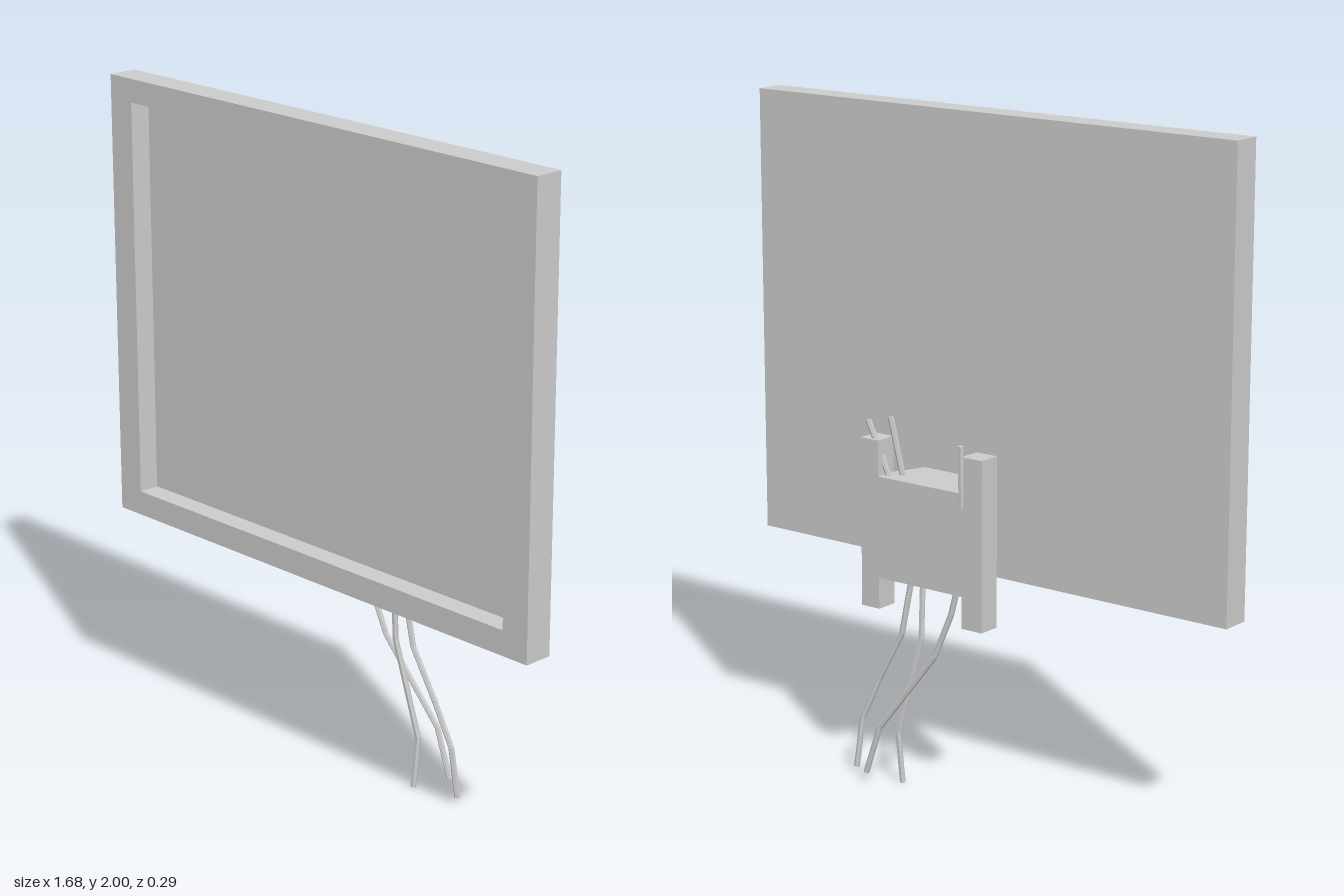
import * as THREE from 'three';

const grey = new THREE.MeshStandardMaterial({ color: 0xcccccc, flatShading: true, side: THREE.DoubleSide });

function add(parent, name, geometry, x = 0, y = 0, z = 0) {
  const mesh = new THREE.Mesh(geometry, grey);
  mesh.name = name;
  mesh.position.set(x, y, z);
  parent.add(mesh);
  return mesh;
}

// Box given by its two extreme corners
function box(parent, name, [x0, y0, z0], [x1, y1, z1]) {
  return add(parent, name, new THREE.BoxGeometry(x1 - x0, y1 - y0, z1 - z0),
    (x0 + x1) / 2, (y0 + y1) / 2, (z0 + z1) / 2);
}

// Straight-segment path whose samples land exactly on its points
class Polyline extends THREE.Curve {
  constructor(points) {
    super();
    this.points = points.map(p => new THREE.Vector3(...p));
  }
  getPoint(t, target = new THREE.Vector3()) {
    const n = this.points.length - 1;
    const i = Math.min(Math.floor(t * n + 1e-9), n - 1);
    return target.lerpVectors(this.points[i], this.points[i + 1], t * n - i);
  }
  getPointAt(u, target) { return this.getPoint(u, target); }
  getTangentAt(u, target) { return this.getTangent(u, target); }
}

// Angular cable with closed ends
function cable(parent, name, points, radius = 0.009) {
  const group = new THREE.Group();
  group.name = name;
  const path = new Polyline(points);
  add(group, name + 'Sleeve', new THREE.TubeGeometry(path, points.length - 1, radius, 6));
  for (const [t, dir] of [[0, -1], [1, 1]]) {
    const p = path.getPoint(t);
    const cap = add(group, name + 'End', new THREE.CircleGeometry(radius, 6), p.x, p.y, p.z);
    cap.lookAt(p.clone().addScaledVector(path.getTangent(t), dir));
  }
  parent.add(group);
}

export function createModel() {
  const model = new THREE.Group();
  model.name = 'wallScreen';

  // Screen: raised rim around a recessed panel
  const rect = (Type, x, y0, y1) => new Type([[-x, y0], [x, y0], [x, y1], [-x, y1]]
    .map(p => new THREE.Vector2(...p)));
  const rim = rect(THREE.Shape, 0.84, 0.655, 2);
  rim.holes.push(rect(THREE.Path, 0.75, 0.73, 1.93));
  add(model, 'screenRim', new THREE.ExtrudeGeometry(rim, { depth: 0.065, bevelEnabled: false }), 0, 0, 0.08);
  box(model, 'screenPanel', [-0.84, 0.655, 0.055], [0.84, 2, 0.08]);

  // Bracket: two posts with a block between them
  const bracket = new THREE.Group();
  bracket.name = 'bracket';
  model.add(bracket);
  box(bracket, 'rightPost', [-0.128, 0.545, -0.12], [-0.055, 1.052, -0.05]);
  box(bracket, 'leftPost', [0.25, 0.545, -0.12], [0.315, 1.052, -0.05]);
  box(bracket, 'bracketBlock', [-0.055, 0.64, -0.12], [0.25, 0.945, -0.05]);

  // Front of the block narrows at the sides and underneath
  const nose = box(bracket, 'taperedNose', [-0.055, 0.64, -0.05], [0.25, 0.945, 0.045]);
  const pos = nose.geometry.attributes.position;
  for (let i = 0; i < pos.count; i++) {
    if (pos.getZ(i) < 0) continue;
    pos.setX(i, pos.getX(i) > 0 ? 0.112 : -0.108);
    if (pos.getY(i) < 0) pos.setY(i, pos.getY(i) + 0.08);
  }
  nose.geometry.computeVertexNormals();

  // Cables hanging below the bracket
  cable(model, 'hangingCableRight', [[-0.03, 0.68, -0.098], [0, 0.57, -0.098], [0.055, 0.435, -0.105],
    [0.24, 0.185, -0.135], [0.29, 0.035, -0.137]]);
  cable(model, 'hangingCableMiddle', [[0.145, 0.68, -0.045], [0.145, 0.46, -0.055],
    [0.215, 0.16, -0.08], [0.205, 0.003, -0.072]]);
  cable(model, 'hangingCableLeft', [[0.178, 0.68, -0.045], [0.22, 0.46, -0.052], [0.295, 0.31, -0.065],
    [0.352, 0.175, -0.078], [0.37, 0.02, -0.087]]);

  // Short cable ends above and behind the bracket
  cable(model, 'upperCableRight', [[-0.053, 0.9, -0.117], [-0.058, 1.085, -0.126]]);
  cable(model, 'upperCableMiddle', [[0.2, 0.92, -0.062], [0.24, 1.115, -0.073]]);
  cable(model, 'upperCableLeft', [[0.225, 0.92, -0.088], [0.297, 1.105, -0.106]]);

  return model;
}
